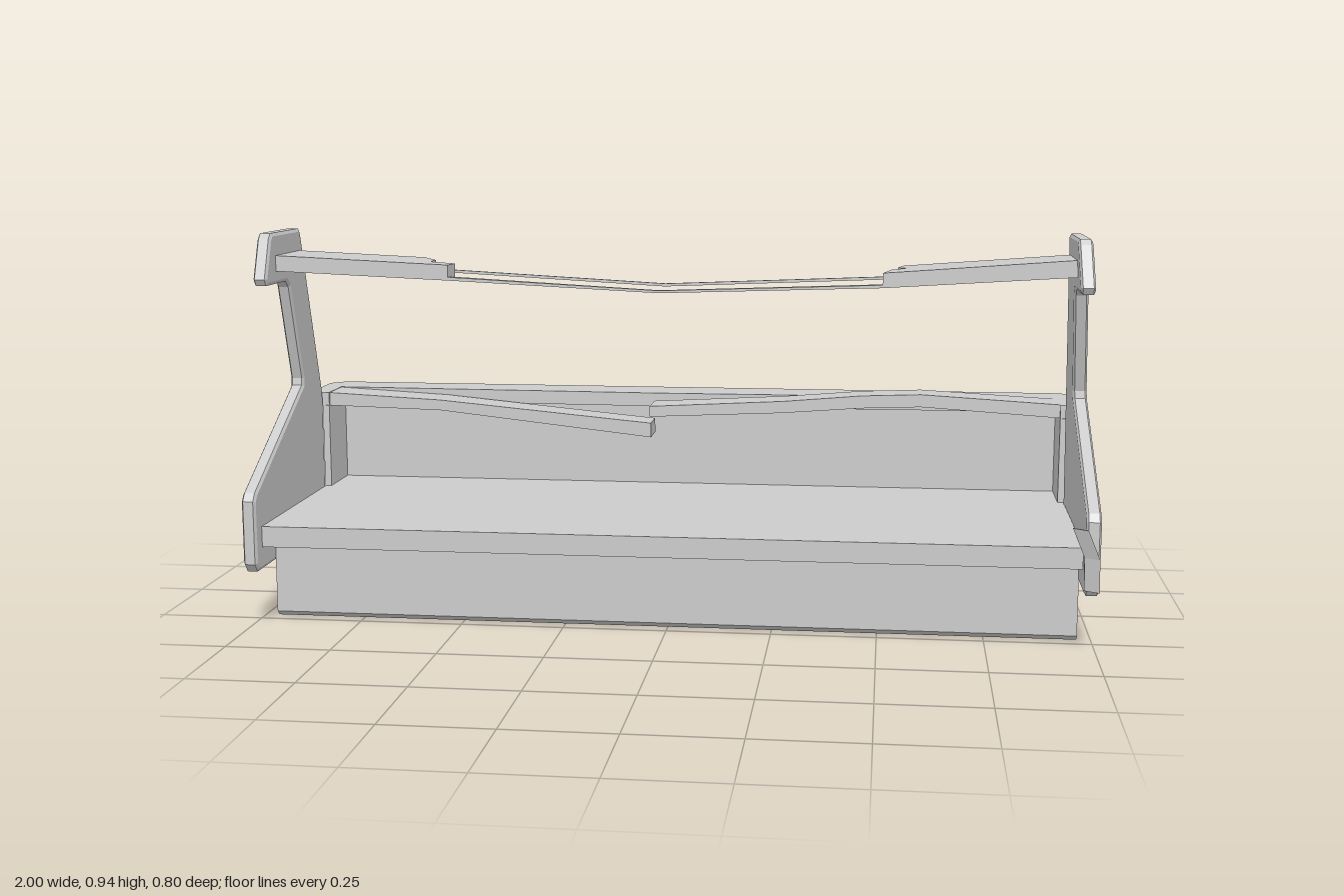
import * as THREE from 'three';

const mat = new THREE.MeshStandardMaterial({ color: 0xcccccc, flatShading: true, side: THREE.DoubleSide });

export function createModel() {
  const root = new THREE.Group();
  const add = (name, geo) => {
    const m = new THREE.Mesh(geo, mat);
    m.name = name;
    root.add(m);
  };
  // box given by its limits
  const box = (name, x0, x1, y0, y1, z0, z1) =>
    add(name, new THREE.BoxGeometry(x1 - x0, y1 - y0, z1 - z0)
      .translate((x0 + x1) / 2, (y0 + y1) / 2, (z0 + z1) / 2));
  const shape = pts => new THREE.Shape(pts.map(p => new THREE.Vector2(p[0], p[1])));
  // [z, y] outline extruded from x0 to x1, with an optional shallow chamfer of width b
  const prism = (pts, x0, x1, b = 0) => {
    const t = b * 0.6;
    return new THREE.ExtrudeGeometry(shape(pts), {
      depth: x1 - x0 - 2 * t, bevelEnabled: b > 0, bevelThickness: t, bevelSize: b, bevelOffset: -b, bevelSegments: 1,
    }).rotateY(-Math.PI / 2).translate(x1 - t, 0, 0);
  };
  // [x, z] outline extruded upward from y0 to y1
  const plate = (pts, y0, y1) =>
    new THREE.ExtrudeGeometry(shape(pts.map(p => [p[0], -p[1]])), { depth: y1 - y0, bevelEnabled: false })
      .rotateX(-Math.PI / 2).translate(0, y0, 0);
  // change each vertex by a rule
  const warp = (geo, rule) => {
    const p = geo.attributes.position, v = new THREE.Vector3();
    for (let i = 0; i < p.count; i++) {
      v.fromBufferAttribute(p, i);
      rule(v);
      p.setXYZ(i, v.x, v.y, v.z);
    }
    geo.computeVertexNormals();
    return geo;
  };
  // solid through matching loops of points, with end caps
  const loft = loops => {
    const out = [], n = loops[0].length;
    const tri = (...t) => t.forEach(p => out.push(...p));
    for (let s = 0; s + 1 < loops.length; s++) {
      const a = loops[s], b = loops[s + 1];
      for (let i = 0; i < n; i++) {
        const j = (i + 1) % n;
        tri(a[i], a[j], b[j]);
        tri(a[i], b[j], b[i]);
      }
    }
    const first = loops[0], last = loops[loops.length - 1];
    for (let i = 1; i + 1 < n; i++) {
      tri(first[0], first[i + 1], first[i]);
      tri(last[0], last[i], last[i + 1]);
    }
    const g = new THREE.BufferGeometry();
    g.setAttribute('position', new THREE.Float32BufferAttribute(out, 3));
    g.computeVertexNormals();
    return g;
  };
  // plank along x from sections [x, zBack, zFront, yTop, yBottom]
  const plank = secs => loft(secs.map(([x, zb, zf, yt, yb]) => [[x, yb, zb], [x, yt, zb], [x, yt, zf], [x, yb, zf]]));

  // hollow base
  add('baseFront', prism([[0.205, 0.004], [0.216, 0.004], [0.228, 0.016], [0.228, 0.2], [0.205, 0.2]], -0.965, 0.965));
  const endOutline = [[-0.338, 0.004], [0.216, 0.004], [0.228, 0.016], [0.228, 0.2], [-0.18, 0.2], [-0.18, 0.466], [-0.338, 0.466]];
  for (const s of [-1, 1]) {
    add('baseEnd', prism(endOutline, s > 0 ? 0.95 : -0.967, s > 0 ? 0.967 : -0.95));
    box('rearFoot', s > 0 ? 0.885 : -0.965, s > 0 ? 0.965 : -0.885, 0.004, 0.2, -0.338, -0.21);
  }
  box('backWall', -0.965, 0.965, 0.155, 0.466, -0.338, -0.325);
  box('deck', -0.965, 0.965, 0.2, 0.25, -0.325, 0.325);

  // recessed kick panels, open where one is bent away
  for (const [x0, x1] of [[0.22, 0.885], [-0.885, -0.28]]) box('kickPanel', x0, x1, 0.1, 0.2, -0.215, -0.207);
  // loose kick panel hanging outward, twisted toward one end (u along, t down)
  add('bentKickPanel', warp(new THREE.PlaneGeometry(1, 1, 6, 6), v => {
    const u = v.x + 0.5, t = 0.5 - v.y;
    v.set(-0.28 + 0.5 * u + 0.03 * t * (1 - u), 0.155 - t * (0.152 - 0.015 * u), -0.338 - t * (0.018 + 0.043 * u));
  }));

  // side panels; the one at +x leans inward at the top
  const side = [
    [0.364, 0.165], [0.364, 0.318], [0.35, 0.336], [-0.022, 0.542], [-0.025, 0.56], [0.056, 0.8],
    [0.075, 0.816], [0.218, 0.816], [0.228, 0.832], [0.188, 0.928], [0.175, 0.94], [-0.034, 0.94],
    [-0.043, 0.925], [-0.181, 0.5], [-0.181, 0.16], [-0.165, 0.145], [0.348, 0.145],
  ];
  add('rightSidePanel', prism(side, -1, -0.966, 0.008));
  add('leftSidePanel', warp(prism(side, 0.966, 1, 0.008), v => {
    v.x -= 0.023 * Math.max(0, (v.y - 0.5) / 0.44);
  }));
  // peeled edge strip at the front of the +x panel
  add('peeledEdge', loft([[0.965, 0.16, 0.358], [0.962, 0.24, 0.372], [0.932, 0.312, 0.395]].map(([x, y, z]) =>
    [[x, y, z], [x, y, z + 0.006], [x + 0.035, y - 0.005, z + 0.006], [x + 0.035, y - 0.005, z]])));

  // counter top: whole rear part and two split front planks
  add('counterTop', plate([
    [-1, -0.181], [-0.95, -0.181], [-0.95, -0.29], [-0.09, -0.272], [0.85, -0.288], [0.95, -0.288], [0.95, -0.181],
    [1, -0.181], [1, -0.355], [0.965, -0.39], [-0.965, -0.39], [-1, -0.355],
  ], 0.465, 0.5));
  add('saggingPlank', plank([
    [-0.95, -0.29, -0.188, 0.499, 0.465], [-0.65, -0.278, -0.183, 0.485, 0.458], [-0.09, -0.25, -0.165, 0.437, 0.4],
  ]));
  add('buckledPlank', plank([
    [-0.09, -0.235, -0.14, 0.485, 0.458], [0.25, -0.258, -0.165, 0.5, 0.47],
    [0.45, -0.27, -0.183, 0.515, 0.483], [0.6, -0.277, -0.188, 0.52, 0.488], [0.95, -0.288, -0.188, 0.5, 0.466],
  ]));

  // broken top shelf, drooping toward the middle
  add('rightShelfStub', warp(plate([
    [-0.968, -0.03], [-0.64, -0.03], [-0.63, -0.01], [-0.6, 0.03], [-0.6, 0.085], [-0.535, 0.1], [-0.54, 0.155], [-0.968, 0.155],
  ], 0.85, 0.885), v => { v.y -= 0.045 * (v.x + 0.968); }));
  add('leftShelfStub', warp(plate([
    [0.95, -0.03], [0.55, -0.03], [0.535, 0.02], [0.555, 0.055], [0.52, 0.07], [0.5, 0.155], [0.95, 0.155],
  ], 0.855, 0.89), v => { v.y -= 0.075 * (0.95 - v.x); }));
  // thin strips still hanging between the stubs
  add('rearShelfStrip', plank([
    [-0.64, -0.02, -0.012, 0.845, 0.838], [-0.03, 0.015, 0.023, 0.815, 0.808], [0.55, -0.02, -0.012, 0.836, 0.829],
  ]));
  add('frontShelfStrip', plank([
    [-0.968, 0.133, 0.155, 0.856, 0.847], [-0.53, 0.133, 0.155, 0.836, 0.828], [-0.03, 0.137, 0.149, 0.809, 0.803],
    [0.5, 0.133, 0.155, 0.828, 0.821], [0.95, 0.133, 0.155, 0.86, 0.85],
  ]));

  return root;
}
